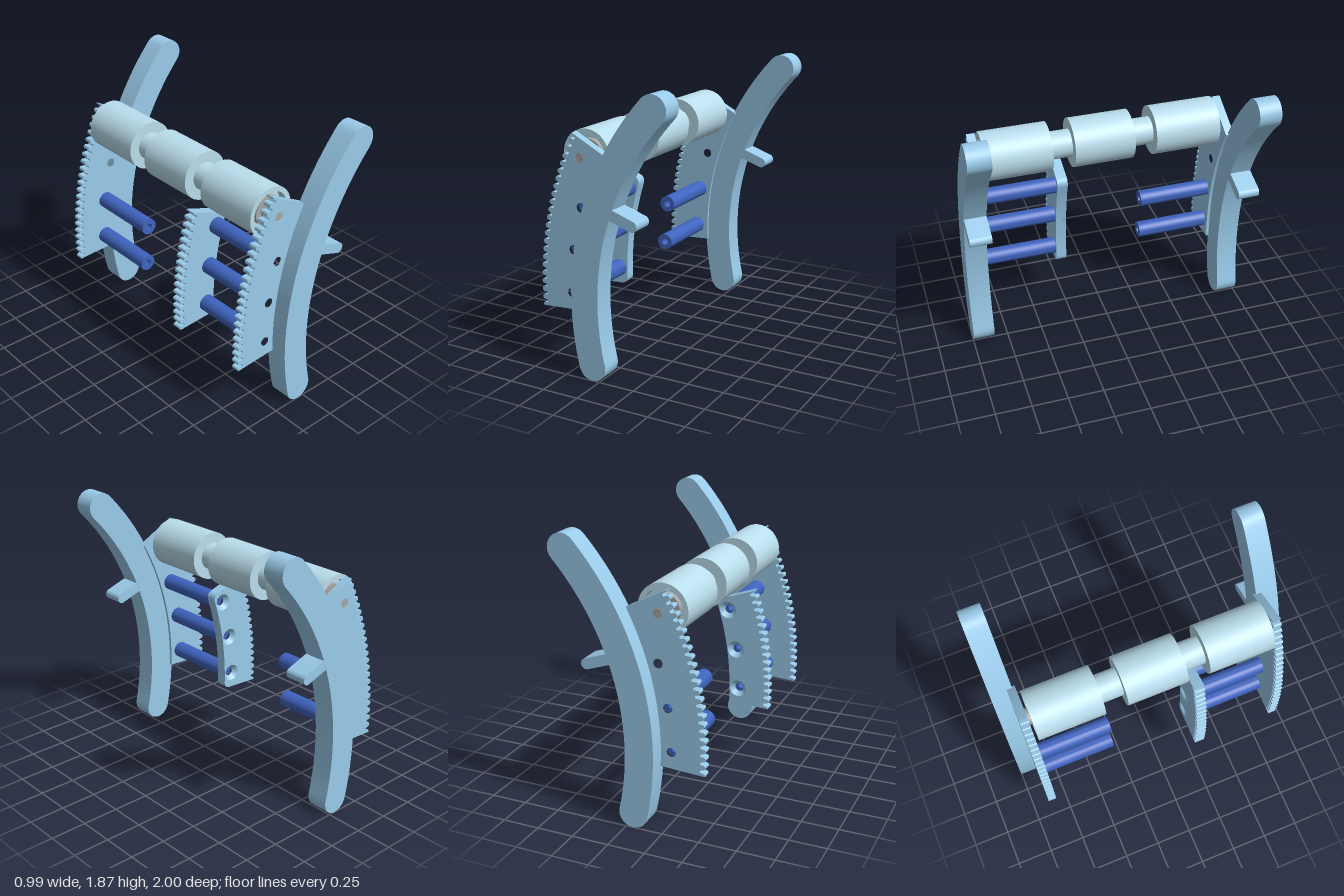
import * as THREE from 'three';
import { toCreasedNormals } from 'three/addons/utils/BufferGeometryUtils.js';

const railMat = new THREE.MeshStandardMaterial({ color: 0x9acbea });
const rollerMat = new THREE.MeshStandardMaterial({ color: 0xbadeed });
const pinMat = new THREE.MeshStandardMaterial({ color: 0x3f64bf });
const axleMat = new THREE.MeshStandardMaterial({ color: 0xa8a6a3 });
const sinkMat = new THREE.MeshStandardMaterial({ color: 0x9acbea, side: THREE.DoubleSide });

// All rails and racks share one arc centre; angle 0 points to -x, growing upwards
const CX = 1.754, CY = 0.517;
const polar = (r, a) => new THREE.Vector2(CX - r * Math.cos(a), CY + r * Math.sin(a));
const PIN_R = 2.02, PIN_ANGLES = [0, 0.145, 0.289];
const AXLE = new THREE.Vector2(-0.182, 1.412);

function mesh(name, geometry, material) {
  const m = new THREE.Mesh(geometry, material);
  m.name = name;
  return m;
}

// Extrude a shape between two z values
function slab(name, shape, z0, z1) {
  const g = new THREE.ExtrudeGeometry(shape, { depth: z1 - z0, bevelEnabled: false, curveSegments: 16 });
  g.translate(0, 0, z0);
  return mesh(name, toCreasedNormals(g, 0.5), railMat);
}

// Turned part: profile of [radius, z] points, from low z to high z, around an axis along z
function turned(name, profile, centre, material) {
  const g = new THREE.LatheGeometry(profile.map(([r, z]) => new THREE.Vector2(r, z)), 40);
  g.rotateX(Math.PI / 2);
  const m = mesh(name, toCreasedNormals(g, 0.5), material);
  m.position.set(centre.x, centre.y, 0);
  return m;
}

// Curved bar with round ends
function railShape() {
  const R = 1.852, h = 0.097, a0 = -0.229, a1 = 0.745, n = 40, pts = [];
  const cap = (a, s) => {
    const c = polar(R, a);
    for (let i = 1; i < 16; i++) {
      const t = (i / 16) * Math.PI, u = s * h * Math.cos(t), v = -s * h * Math.sin(t);
      pts.push(new THREE.Vector2(
        c.x - u * Math.cos(a) + v * Math.sin(a),
        c.y + u * Math.sin(a) + v * Math.cos(a)));
    }
  };
  for (let i = 0; i <= n; i++) pts.push(polar(R + h, a1 + (a0 - a1) * i / n));
  cap(a0, 1);
  for (let i = 0; i <= n; i++) pts.push(polar(R - h, a0 + (a1 - a0) * i / n));
  cap(a1, -1);
  return new THREE.Shape(pts);
}

// Arc-shaped plate with teeth on the outer edge, rounded inner corners and round holes
function rackShape(a0, a1, inner, teeth, fillet, holes, holeR) {
  const tip = 2.25, root = 2.214, pts = [], step = (a1 - a0) / teeth;
  for (let i = 0; i < teeth; i++) {
    for (const [f, r] of [[0, tip], [0.2, tip], [0.32, tip - 0.006], [0.42, root], [0.7, root], [0.82, tip - 0.006]]) {
      pts.push(polar(r, a0 + (i + f) * step));
    }
  }
  pts.push(polar(tip, a1));
  const da = fillet / inner, q = Math.PI / 2;
  for (let i = 0; i <= 6; i++) {
    const t = q * i / 6;
    pts.push(polar(inner + fillet * (1 - Math.sin(t)), a1 - da * (1 - Math.cos(t))));
  }
  for (let i = 1; i < 24; i++) pts.push(polar(inner, a1 - da + (a0 - a1 + 2 * da) * i / 24));
  for (let i = 6; i >= 0; i--) {
    const t = q * i / 6;
    pts.push(polar(inner + fillet * (1 - Math.sin(t)), a0 + da * (1 - Math.cos(t))));
  }
  const shape = new THREE.Shape(pts);
  for (const c of holes) shape.holes.push(new THREE.Path().absarc(c.x, c.y, holeR, 0, Math.PI * 2, true));
  return shape;
}

// Short peg with a rounded tip, in its own frame along +x
function pegShape() {
  const s = new THREE.Shape();
  s.moveTo(-0.06, -0.035);
  s.lineTo(0.165, -0.035);
  s.absarc(0.165, 0, 0.035, -Math.PI / 2, Math.PI / 2, false);
  s.lineTo(-0.06, 0.035);
  return s;
}

export function createModel() {
  const model = new THREE.Group();
  model.name = 'rollerFrame';
  const pinCentres = PIN_ANGLES.map(a => polar(PIN_R, a));

  // Side frames
  for (const [side, s] of [['front', 1], ['back', -1]]) {
    const frame = new THREE.Group();
    frame.name = side + 'Frame';
    const span = (a, b) => s > 0 ? [a, b] : [-b, -a];
    frame.add(slab('curvedRail', railShape(), ...span(0.85, 1)));
    frame.add(slab('toothedPlate',
      rackShape(-0.055, 0.484, 1.932, 22, 0.002, [...pinCentres, AXLE], 0.031), ...span(0.83, 0.887)));
    const peg = slab('peg', pegShape(), ...span(0.851, 0.999));
    peg.position.set(0.095, 1.116, 0);
    peg.rotation.z = -0.33;
    frame.add(peg);

    // Spacer pins with bored ends
    pinCentres.slice(0, s > 0 ? 3 : 2).forEach(c => {
      const [a, b] = span(0.316, 0.83), r = 0.057, bore = 0.024, d = 0.1;
      frame.add(turned('spacerPin', [[0, a + d], [bore, a + d], [bore, a], [r, a],
        [r, b], [bore, b], [bore, b - d], [0, b - d]], c, pinMat));
    });
    model.add(frame);
  }

  // Short inner rack with countersunk holes
  const rack = new THREE.Group();
  rack.name = 'innerRack';
  const rackOutline = r => rackShape(-0.055, 0.334, 1.955, 16, 0.045, pinCentres, r);
  rack.add(slab('rackPlate', rackOutline(0.03), 0.275, 0.318));
  rack.add(slab('rackFace', rackOutline(0.06), 0.245, 0.275));
  for (const c of pinCentres) {
    const cone = new THREE.CylinderGeometry(0.03, 0.06, 0.03, 32, 1, true).rotateX(Math.PI / 2);
    const sink = mesh('countersink', cone, sinkMat);
    sink.position.set(c.x, c.y, 0.26);
    rack.add(sink);
  }
  model.add(rack);

  // Stepped roller: three drums joined by necks, hollow at both ends
  const R = 0.168, N = 0.095, H = 0.135;
  const half = [[R, 0.207], [N, 0.207], [N, 0.358], [R, 0.358], [R, 0.812], [H, 0.812], [H, 0.75], [0, 0.75]];
  const lower = half.map(([r, z]) => [r, -z]).reverse();
  model.add(turned('roller', [...lower, ...half], AXLE, rollerMat));

  // Axle stubs and bearings in the roller ends
  for (const s of [1, -1]) {
    for (const [name, radius, depth, z] of [
      ['bearing', 0.1, 0.05, 0.765], ['axleStub', 0.056, 0.1, 0.78], ['axleCore', 0.028, 0.06, 0.855]]) {
      const m = mesh(name, new THREE.CylinderGeometry(radius, radius, depth, 32).rotateX(Math.PI / 2), axleMat);
      m.position.set(AXLE.x, AXLE.y, s * z);
      model.add(m);
    }
  }
  return model;
}
